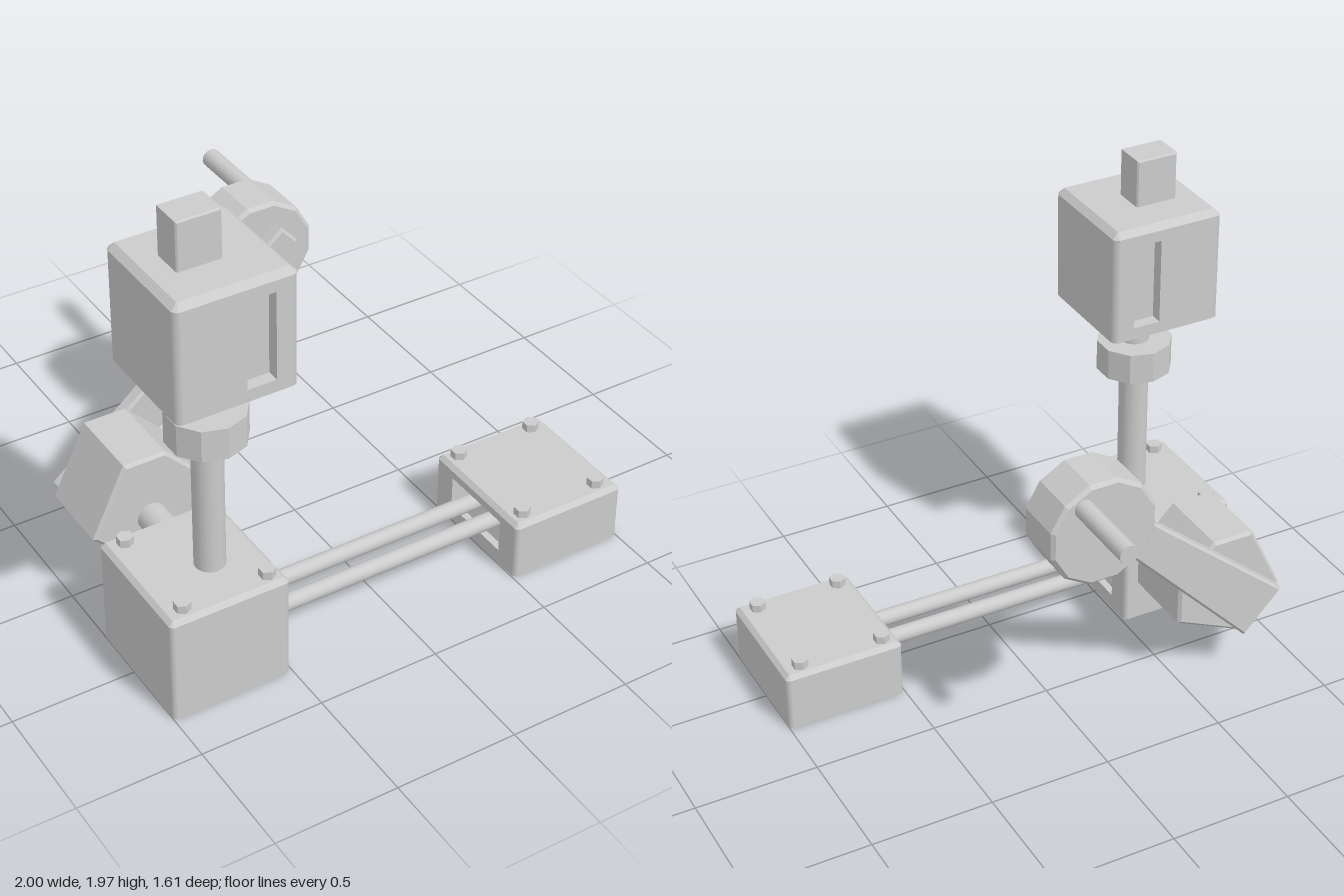
import * as THREE from 'three';

const mat = new THREE.MeshStandardMaterial({ color: 0xcccccc });
const flat = new THREE.MeshStandardMaterial({ color: 0xcccccc, flatShading: true });

const poly = pts => new THREE.Shape(pts.map(([x, y]) => new THREE.Vector2(x, y)));
const rect = (x0, x1, y0, y1) => poly([[x0, y0], [x1, y0], [x1, y1], [x0, y1]]);

function mesh(name, geometry, x = 0, y = 0, z = 0, material = mat) {
  const m = new THREE.Mesh(geometry, material);
  m.name = name;
  m.position.set(x, y, z);
  return m;
}

// Outline in x/y, extruded between two z values with chamfered edges
function slab(name, shape, z0, z1, b) {
  const g = new THREE.ExtrudeGeometry(shape, {
    depth: z1 - z0 - 2 * b, bevelEnabled: b > 0, bevelThickness: b,
    bevelSize: b, bevelOffset: -b, bevelSegments: 1,
  });
  return mesh(name, g, 0, 0, z0 + b);
}

// Round or faceted bar along y or z
function bar(name, axis, r, from, to, a, b, sides = 20, material = mat) {
  const g = new THREE.CylinderGeometry(r, r, to - from, sides);
  const mid = (from + to) / 2;
  if (axis === 'x') return mesh(name, g.rotateZ(Math.PI / 2), mid, a, b, material);
  if (axis === 'z') return mesh(name, g.rotateX(Math.PI / 2), a, b, mid, material);
  return mesh(name, g, a, mid, b, material);
}

// Case open underneath: four walls (some slotted), corner posts and a chamfered lid
function openCase(name, [x0, x1], [y0, y1], [z0, z1], b, t, slots) {
  const g = new THREE.Group();
  g.name = name;
  const w = x1 - x0, d = z1 - z0, h = y1 - y0 - b;
  const cx = (x0 + x1) / 2, cz = (z0 + z1) / 2;
  const sides = { front: [w, d, 0], right: [d, w, 1], back: [w, d, 2], left: [d, w, 3] };
  for (const [side, [len, across, turn]] of Object.entries(sides)) {
    const shape = rect(-len / 2 + b, len / 2 - b, 0, h);
    const s = slots[side];
    if (s) shape.holes.push(rect(...s));
    const wall = slab(side + 'Wall', shape, across / 2 - t, across / 2, 0);
    const holder = new THREE.Group();
    holder.name = side + 'Side';
    holder.add(wall);
    holder.position.set(cx, y0, cz);
    holder.rotation.y = turn * Math.PI / 2;
    g.add(holder);
  }
  for (const x of [x0 + b, x1 - b]) for (const z of [z0 + b, z1 - b])
    g.add(bar('cornerPost', 'y', b, y0, y1 - b, x, z, 8));
  const X = w / 2, Z = d / 2, c = b * 0.7;
  const lid = slab('lid', poly([[-X + c, -Z], [X - c, -Z], [X, -Z + c], [X, Z - c],
    [X - c, Z], [-X + c, Z], [-X, Z - c], [-X, -Z + c]]), -2 * b, 0, b * 0.999);
  lid.rotation.x = -Math.PI / 2;
  lid.position.set(cx, y1 - b, cz);
  g.add(lid);
  return g;
}

export function createModel() {
  const model = new THREE.Group();
  model.name = 'crankMachine';

  // Two floor cases, slotted where the tie rods enter
  const rodSlot = [-0.16, 0.16, 0.06, 0.2];
  model.add(
    openCase('tallBase', [-1, -0.51], [0, 0.45], [0.26, 0.8], 0.018, 0.03, { right: rodSlot }),
    openCase('lowBase', [0.505, 1], [0, 0.25], [0.26, 0.8], 0.018, 0.03, { left: rodSlot }));

  // Hex bolts through both lids
  for (const [cx, top] of [[-0.745, 0.45], [0.745, 0.25]])
    for (const dx of [-0.175, 0.175]) for (const z of [0.315, 0.74])
      model.add(bar('bolt', 'y', 0.033, top - 0.05, top + 0.033, cx + dx, z, 6, flat));

  // Tie rods
  for (const z of [0.46, 0.59])
    model.add(bar('tieRod', 'x', 0.034, -0.58, 0.58, 0.13, z));

  // Column and faceted collar
  model.add(
    bar('column', 'y', 0.06, 0.43, 1.31, -0.71, 0.57),
    bar('collar', 'y', 0.154, 1.02, 1.15, -0.71, 0.57, 10, flat));

  // Head box with a pocket front and back, and a square stub on top
  const head = openCase('headBox', [-0.95, -0.475], [1.3, 1.775], [0.33, 0.805], 0.025, 0.05, {
    front: [0.033, 0.148, 0.05, 0.405], back: [-0.148, -0.033, 0.05, 0.405],
  });
  head.add(mesh('headCore', new THREE.BoxGeometry(0.385, 0.44, 0.375), -0.7125, 1.521, 0.5675));
  model.add(head, slab('headStub', rect(-0.84, -0.665, 1.76, 1.97), 0.497, 0.63, 0.006));

  // Drive shaft and housing, whose outline lines up with the crank arm
  model.add(bar('driveShaft', 'z', 0.06, 0.1, 0.28, -0.71, 0.36));
  model.add(slab('driveHousing', poly([[-0.775, 0.16], [-0.485, 0.295], [-0.485, 0.475],
    [-0.64, 0.632], [-0.815, 0.632], [-0.955, 0.34]]), -0.205, 0.13, 0.012));

  // Tapered crank arm
  model.add(slab('crankArm', poly([[-0.761, 0.181], [0.14, 1.125], [0.07, 1.2],
    [-0.928, 0.355]]), -0.265, -0.2, 0.01));

  // Faceted crank disc and handle
  const disc = [];
  for (let i = 0; i < 12; i++) {
    const a = (i + 0.5) * Math.PI / 6;
    disc.push([0.018 + 0.224 * Math.cos(a), 1.067 + 0.224 * Math.sin(a)]);
  }
  model.add(
    slab('crankDisc', poly(disc), -0.482, -0.265, 0.014),
    bar('handle', 'z', 0.038, -0.807, -0.47, 0.105, 1.2));

  return model;
}
